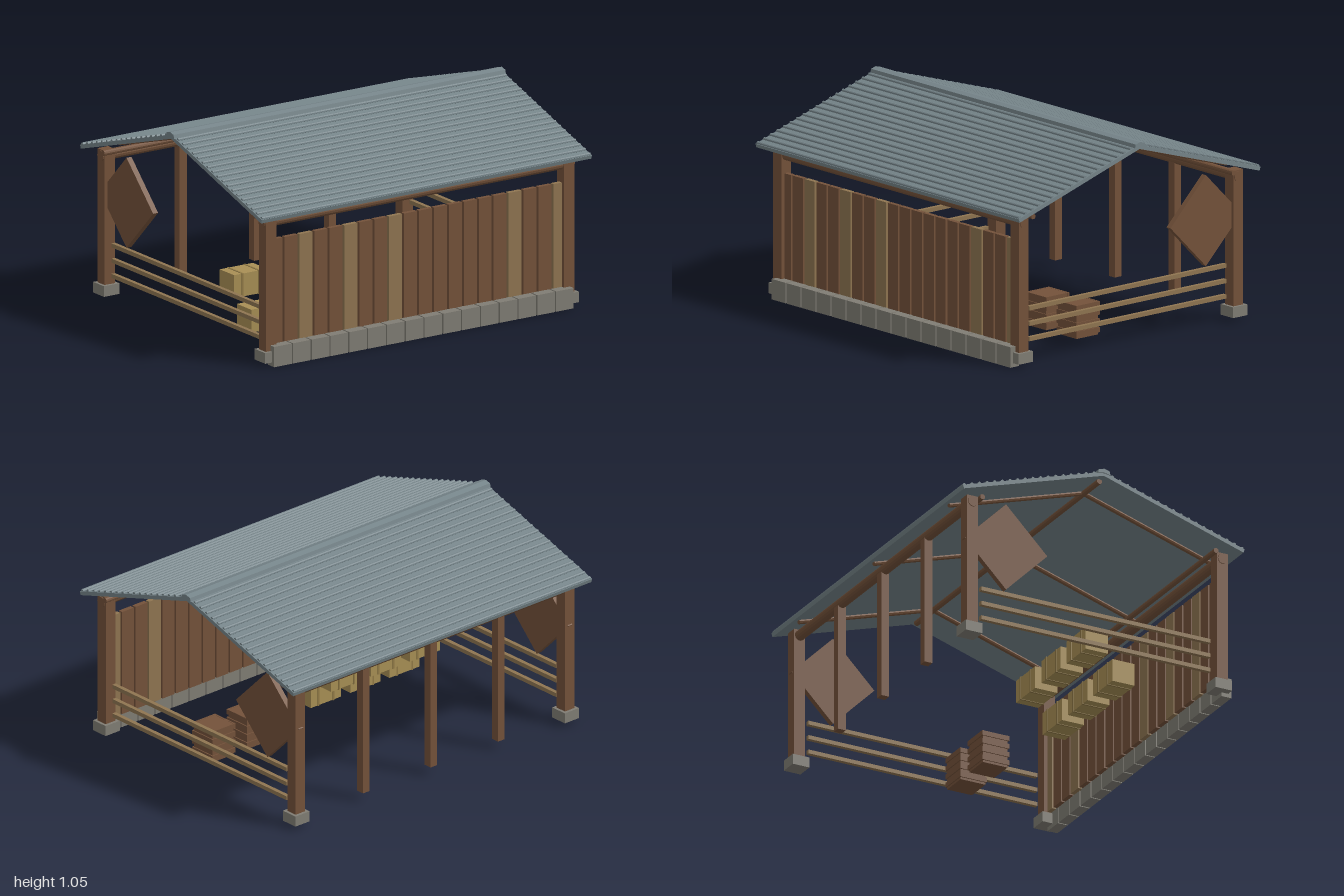
import * as THREE from 'three';

const mat = (color) => new THREE.MeshStandardMaterial({ color, flatShading: true });
const wood = mat(0x74523a), lightWood = mat(0x8f7551), stone = mat(0x807d74);
const metal = mat(0x76858a), straw = mat(0xa88f55), strap = mat(0x8f7845);

function box(parent, name, material, size, pos) {
  const mesh = new THREE.Mesh(new THREE.BoxGeometry(...size), material);
  mesh.name = name;
  mesh.position.set(...pos);
  parent.add(mesh);
  return mesh;
}

// Round pole running along x
function pole(parent, name, material, radius, length, pos, sides = 10) {
  const geo = new THREE.CylinderGeometry(radius, radius, length, sides).rotateZ(Math.PI / 2);
  const mesh = new THREE.Mesh(geo, material);
  mesh.name = name;
  mesh.position.set(...pos);
  parent.add(mesh);
  return mesh;
}

function group(parent, name) {
  const g = new THREE.Group();
  g.name = name;
  parent.add(g);
  return g;
}

// One roof slope, built flat in its own frame: +z runs down from the ridge
function roofSlope(parent, side) {
  const slope = group(parent, 'roofSlope');
  const angle = Math.atan2(0.245, 0.79), length = 0.83;
  slope.position.y = 1.02;
  slope.rotation.order = 'YXZ';
  slope.rotation.set(angle, side > 0 ? 0 : Math.PI, 0);
  box(slope, 'roofSheet', metal, [1.99, 0.02, length], [0, 0, length / 2]);
  for (let i = 0; i < 18; i++) {
    pole(slope, 'roofRib', metal, 0.009, 1.98, [0, 0.011, 0.05 + i * 0.0452], 8);
  }
  for (const x of [-0.78, 0, 0.78]) {
    const rafter = pole(slope, 'rafter', wood, 0.012, 0.8, [x, -0.018, 0.4], 8);
    rafter.rotation.y = Math.PI / 2;
  }
}

function bale(parent, x, y, z) {
  const g = group(parent, 'strawBale');
  g.position.set(x, y, z);
  box(g, 'baleBody', straw, [0.2, 0.119, 0.126], [0, 0, 0]);
  for (const s of [-0.05, 0.05]) box(g, 'baleStrap', strap, [0.01, 0.124, 0.132], [s, 0, 0]);
}

function crate(parent, x, z) {
  const g = group(parent, 'crate');
  g.position.set(x, 0, z);
  box(g, 'crateBody', wood, [0.14, 0.17, 0.14], [0, 0.11, 0]);
  for (const y of [0.05, 0.095, 0.14, 0.183]) {
    for (const s of [-1, 1]) {
      box(g, 'crateSlat', wood, [0.154, 0.026, 0.01], [0, y, s * 0.071]);
      box(g, 'crateSlat', wood, [0.01, 0.026, 0.15], [s * 0.071, y, 0]);
    }
  }
}

export function createModel() {
  const model = new THREE.Group();
  model.name = 'openShed';

  // Corner posts on stone footings
  for (const sx of [-1, 1]) {
    for (const sz of [-1, 1]) {
      box(model, 'cornerPost', wood, [0.064, 0.7, 0.062], [sx * 0.898, 0.42, sz * 0.706]);
      box(model, 'footing', stone, [0.094, 0.055, 0.094], [sx * 0.898, 0.048, sz * 0.706]);
    }
  }

  // Thinner posts along the open back
  for (const x of [-0.45, 0, 0.45]) {
    box(model, 'backPost', wood, [0.044, 0.69, 0.044], [x, 0.39, -0.706]);
  }

  // Front wall: planks behind a row of stone blocks
  const wall = group(model, 'frontWall');
  const lightPlanks = [2, 5, 8, 16, 19];
  for (let i = 0; i < 20; i++) {
    const material = lightPlanks.includes(i) ? lightWood : wood;
    box(wall, 'plank', material, [0.078, 0.56, 0.025], [-0.855 + i * 0.09, 0.365, 0.706]);
  }
  for (let i = 0; i < 16; i++) {
    box(wall, 'stoneBlock', stone, [0.106, 0.105, 0.055], [-0.85 + i * 0.1133, 0.0525, 0.743]);
  }

  // Side rails and tilted side boards
  for (const sx of [-1, 1]) {
    for (const y of [0.127, 0.206, 0.285]) {
      box(model, 'sideRail', lightWood, [0.022, 0.021, 1.295], [sx * 0.898, y, 0.002]);
    }
    const board = box(model, 'sideBoard', wood, [0.03, 0.33, 0.33], [sx * 0.898, 0.54, -0.508]);
    board.rotation.x = Math.PI / 4;
  }

  // Roof timbers
  for (const sz of [-1, 1]) {
    pole(model, 'eaveBeam', wood, 0.027, 1.87, [0, 0.738, sz * 0.706], 14);
    pole(model, 'purlin', wood, 0.014, 1.9, [0, 0.766, sz * 0.66]);
  }
  pole(model, 'ridgePole', wood, 0.015, 1.9, [0, 0.998, 0]);

  // Roof slopes and ridge cap
  roofSlope(model, 1);
  roofSlope(model, -1);
  const cap = new THREE.Shape([
    [-0.035, 1.018], [-0.03, 1.038], [0, 1.046], [0.03, 1.038], [0.035, 1.018], [0, 1.024],
  ].reverse().map(([z, y]) => new THREE.Vector2(z, y)));
  const capGeo = new THREE.ExtrudeGeometry(cap, { depth: 2, bevelEnabled: false });
  capGeo.translate(0, 0, -1).rotateY(Math.PI / 2);
  const ridgeCap = new THREE.Mesh(capGeo, metal);
  ridgeCap.name = 'ridgeCap';
  model.add(ridgeCap);

  // Stored goods
  for (const x of [-0.63, -0.37, -0.105]) {
    bale(model, x, 0.098, 0.256);
    bale(model, x, 0.24, 0.105);
  }
  for (const x of [0.46, 0.69]) crate(model, x, 0.14);

  return model;
}
